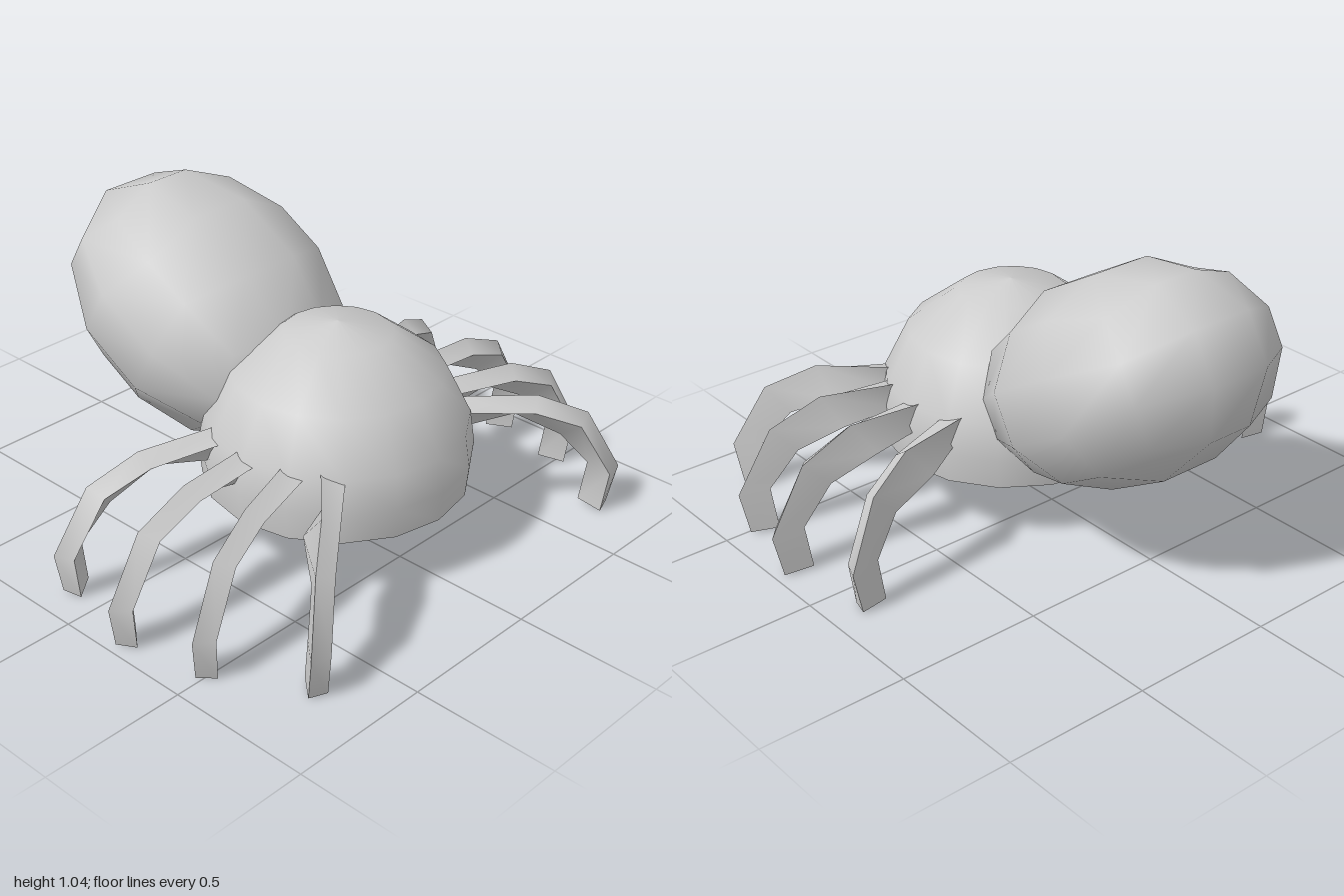
import * as THREE from 'three';
import { mergeVertices, toCreasedNormals } from 'three/addons/utils/BufferGeometryUtils.js';

const material = new THREE.MeshStandardMaterial({ color: 0xcccccc });
const shellMaterial = new THREE.MeshStandardMaterial({ color: 0xcccccc, side: THREE.DoubleSide });

// Triangular cross-sections of a leg from root to foot.
// Each holds [outward, up, sideways] for the top, front and under ridges.
const legSections = [
  [[-0.07, 0.45, -0.04], [-0.07, 0.43, 0.04], [-0.05, 0.345, -0.01]],
  [[0.24, 0.45, -0.01], [0.22, 0.41, 0.045], [0.18, 0.35, -0.07]],
  [[0.43, 0.37, -0.01], [0.39, 0.345, 0.045], [0.34, 0.28, -0.03]],
  [[0.56, 0.15, -0.01], [0.51, 0.15, 0.045], [0.45, 0.16, -0.03]],
  [[0.53, 0.005, -0.02], [0.49, 0, 0.035], [0.43, 0.01, -0.04]],
];

// Root position, heading and reach of each leg on the left side
const legs = [
  { name: 'frontLeg', x: 0.34, z: 0.5, angle: -0.66, reach: 0.95 },
  { name: 'frontMiddleLeg', x: 0.42, z: 0.385, angle: -0.24, reach: 0.95 },
  { name: 'rearMiddleLeg', x: 0.44, z: 0.21, angle: 0, reach: 1 },
  { name: 'rearLeg', x: 0.43, z: 0.03, angle: 0.32, reach: 0.94 },
];

function legGeometry({ x, z, angle, reach }, side) {
  const positions = [];
  const index = [];
  const tri = (a, b, c) => (side > 0 ? index.push(a, b, c) : index.push(a, c, b));
  const c = Math.cos(angle), s = Math.sin(angle);
  legSections.forEach((section, i) => {
    for (const [out, up, across] of section) {
      const r = out * reach;
      positions.push(side * (x + r * c + across * s), up, z - r * s + across * c);
    }
    if (i === 0) return;
    for (let j = 0; j < 3; j++) {
      const k = (j + 1) % 3;
      const a = (i - 1) * 3, b = i * 3;
      tri(a + j, a + k, b + k);
      tri(a + j, b + k, b + j);
    }
  });
  // Root and foot caps
  const end = (legSections.length - 1) * 3;
  tri(0, 2, 1);
  tri(end, end + 1, end + 2);
  const geometry = new THREE.BufferGeometry();
  geometry.setAttribute('position', new THREE.Float32BufferAttribute(positions, 3));
  geometry.setIndex(index);
  return toCreasedNormals(geometry, 1.0);
}

// Cube with its grid pushed out to an even ball
function cubeSphere(divisions) {
  let geometry = new THREE.BoxGeometry(2, 2, 2, divisions, divisions, divisions);
  geometry.deleteAttribute('uv');
  geometry.deleteAttribute('normal');
  geometry = mergeVertices(geometry);
  const p = geometry.attributes.position;
  const v = new THREE.Vector3();
  for (let i = 0; i < p.count; i++) {
    v.fromBufferAttribute(p, i);
    v.set(...v.toArray().map((t) => Math.tan((t * Math.PI) / 4))).normalize();
    p.setXYZ(i, v.x, v.y, v.z);
  }
  return geometry;
}

export function createModel() {
  const model = new THREE.Group();
  model.name = 'spider';

  const add = (name, geometry, mat = material) => {
    const mesh = new THREE.Mesh(geometry, mat);
    mesh.name = name;
    model.add(mesh);
    return mesh;
  };

  // Domed front body, open underneath
  const profile = [
    [0.447, 0.215], [0.457, 0.32], [0.44, 0.435], [0.355, 0.605], [0.18, 0.735], [0, 0.77],
  ].map(([r, y]) => new THREE.Vector2(r, y));
  add('frontBody', new THREE.LatheGeometry(profile, 16), shellMaterial).position.z = 0.21;

  // Abdomen raised towards the back
  const abdomen = cubeSphere(3);
  abdomen.scale(0.449, 0.36, 0.54);
  abdomen.rotateX(Math.PI / 6);
  abdomen.translate(0, 0.637, -0.381);
  abdomen.computeVertexNormals();
  add('abdomen', abdomen);

  // Four legs on each side
  for (const side of [1, -1]) {
    const prefix = side > 0 ? 'left' : 'right';
    for (const leg of legs) {
      const name = prefix + leg.name[0].toUpperCase() + leg.name.slice(1);
      add(name, legGeometry(leg, side));
    }
  }
  return model;
}
